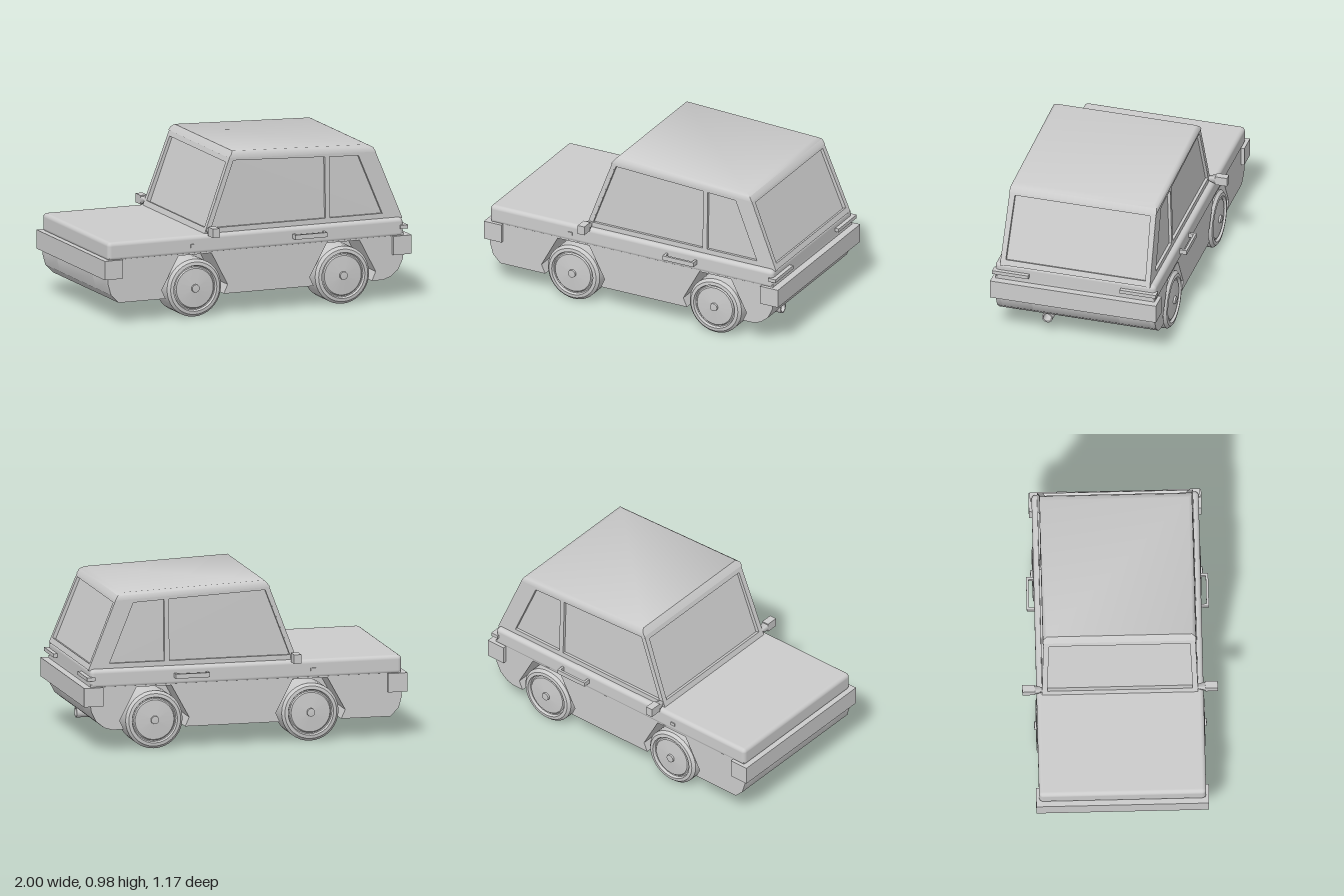
import * as THREE from 'three';
import { toCreasedNormals } from 'three/addons/utils/BufferGeometryUtils.js';
import { RoundedBoxGeometry } from 'three/addons/geometries/RoundedBoxGeometry.js';
import { ConvexGeometry } from 'three/addons/geometries/ConvexGeometry.js';

export function createModel() {
  const car = new THREE.Group();
  car.name = 'car';
  const mat = new THREE.MeshStandardMaterial({ color: 0xcccccc });

  const add = (name, geo, x = 0, y = 0, z = 0) => {
    const m = new THREE.Mesh(geo, mat);
    m.name = name;
    m.position.set(x, y, z);
    car.add(m);
    return m;
  };
  // box given by its extents on each axis
  const box = (name, x0, x1, y0, y1, z0, z1) =>
    add(name, new THREE.BoxGeometry(x1 - x0, y1 - y0, z1 - z0), (x0 + x1) / 2, (y0 + y1) / 2, (z0 + z1) / 2);
  const v2 = (pts) => pts.map(([x, y]) => new THREE.Vector2(x, y));
  const extrude = (pts, depth, holes = []) => {
    const s = new THREE.Shape(v2(pts));
    holes.forEach((h) => s.holes.push(new THREE.Path(v2(h))));
    return new THREE.ExtrudeGeometry(s, { depth, bevelEnabled: false });
  };
  // convex solid from points mirrored across the centre plane
  const hull = (pts) => new ConvexGeometry(
    pts.flatMap(([x, y, z]) => [new THREE.Vector3(x, y, z), new THREE.Vector3(x, y, -z)]));

  // Lower body: thin side skins, inner slabs around the wheels and a core, with a recessed floor
  const nose = [[-0.96, 0.41], [-0.97, 0.25], [-0.95, 0.18], [-0.9, 0.13]];
  const tail = [[0.82, 0.13], [0.87, 0.145], [0.92, 0.185], [0.95, 0.245], [0.96, 0.31], [0.955, 0.41]];
  const arch = (cx) => [[cx - 0.19, 0.13], [cx - 0.215, 0.185], [cx - 0.105, 0.385],
    [cx + 0.11, 0.385], [cx + 0.215, 0.185], [cx + 0.19, 0.13]];
  const axles = [-0.405, 0.56];
  const front = arch(axles[0]);
  const rear = arch(axles[1]);
  const skin = [...nose, ...front, ...rear, ...tail];
  const inner = [...nose, ...front, [-0.17, 0.13], [-0.15, 0.185], [0.3, 0.185], [0.32, 0.13], ...rear, ...tail];
  const core = [...nose, [-0.56, 0.13], [-0.54, 0.28], [-0.27, 0.28], [-0.22, 0.185],
    [0.76, 0.185], [0.78, 0.13], ...tail];
  add('lowerBodyCore', toCreasedNormals(extrude(core, 0.54), 0.5), 0, 0, -0.27);
  for (const s of [1, -1]) {
    add('wheelHousing', toCreasedNormals(extrude(inner, 0.195), 0.5), 0, 0, s > 0 ? 0.27 : -0.465);
    add('sideSkin', toCreasedNormals(extrude(skin, 0.03), 0.5), 0, 0, s > 0 ? 0.465 : -0.495);
    box('frontArchLiner', -0.25, -0.17, 0.13, 0.25, s * 0.265 - 0.01, s * 0.265 + 0.01);
    box('rearArchLiner', 0.33, 0.785, 0.13, 0.2, s * 0.265 - 0.01, s * 0.265 + 0.01);
  }

  // Shoulder band with the bonnet as its top
  add('upperBody', new RoundedBoxGeometry(1.925, 0.115, 1.0, 3, 0.025), -0.0075, 0.4425, 0);

  // Cabin: glass core, window frames, softly rounded roof
  add('glass', hull([[-0.305, 0.49, 0.45], [-0.145, 0.94, 0.438], [0.774, 0.9, 0.438], [0.938, 0.49, 0.45]]));
  const roof = hull([[-0.165, 0.947, 0.459], [-0.15, 0.968, 0.457], [-0.135, 0.985, 0.435],
    [0.745, 0.953, 0.435], [0.775, 0.938, 0.455], [0.792, 0.908, 0.459]]);
  add('roof', toCreasedNormals(roof, 0.85));
  const sideOutline = [[-0.33, -0.01], [0.96, -0.01], [0.785, 0.42], [-0.155, 0.455]];
  const sideWindows = [
    [[-0.29, 0.03], [-0.14, 0.43], [0.46, 0.403], [0.46, 0.03]],
    [[0.49, 0.03], [0.49, 0.401], [0.68, 0.392], [0.83, 0.03]],
  ];
  for (const s of [1, -1]) {
    const frame = add('sideWindowFrame', extrude(sideOutline, 0.025, sideWindows), 0, 0.5, s > 0 ? 0.442 : -0.467);
    frame.rotation.x = -0.026 * s;
  }
  // sloped frame between a bottom and a top point of the side profile
  const endFrame = (name, [x0, y0], [x1, y1], dir, lo, hi) => {
    const up = new THREE.Vector3(x1 - x0, y1 - y0, 0);
    const len = up.length();
    up.normalize();
    const out = new THREE.Vector3(dir * up.y, -dir * up.x, 0);
    const across = new THREE.Vector3().crossVectors(up, out);
    const geo = extrude([[-0.467, 0], [0.467, 0], [0.455, len], [-0.455, len]], 0.03,
      [[[-0.435, lo], [-0.422, hi], [0.422, hi], [0.435, lo]]]);
    geo.translate(0, 0, -0.03);
    geo.applyMatrix4(new THREE.Matrix4().makeBasis(across, up, out).setPosition(x0, y0, 0));
    add(name, geo);
  };
  endFrame('windscreenFrame', [-0.33, 0.495], [-0.16, 0.95], -1, 0.04, 0.45);
  endFrame('rearWindowFrame', [0.96, 0.495], [0.79, 0.91], 1, 0.035, 0.43);

  // Bumpers
  box('frontBumper', -1, -0.88, 0.28, 0.395, -0.517, 0.517);
  box('rearBumper', 0.88, 1, 0.28, 0.395, -0.517, 0.517);

  // Wheels: tyre, dished cover and hollow back in one turned profile
  const wheelGeo = toCreasedNormals(new THREE.LatheGeometry(v2([
    [0, 0.37], [0.035, 0.37], [0.04, 0.4], [0.1, 0.4], [0.115, 0.29], [0.16, 0.29], [0.176, 0.305],
    [0.176, 0.485], [0.16, 0.502], [0.14, 0.505], [0.134, 0.488], [0.127, 0.488], [0.12, 0.496],
    [0.025, 0.503], [0.024, 0.515], [0, 0.517],
  ]), 36), 0.5);
  for (const x of axles) {
    for (const s of [1, -1]) add('wheel', wheelGeo, x, 0.18, 0).rotation.x = s * Math.PI / 2;
    add('axle', new THREE.CylinderGeometry(0.018, 0.018, 0.78, 12), x, 0.2, 0).rotation.x = Math.PI / 2;
  }
  // Front gear housing and links
  add('gearHousing', new THREE.CylinderGeometry(0.075, 0.075, 0.08, 20), -0.405, 0.21, 0).rotation.x = Math.PI / 2;
  box('steeringLink', -0.52, -0.5, 0.19, 0.21, -0.3, 0.3);
  box('gearHousingFoot', -0.435, -0.375, 0.1, 0.17, -0.045, 0.01);

  // Exhaust: six-sided muffler and an open pipe
  const muffler = extrude([[-0.068, 0.12], [-0.035, 0.075], [0.035, 0.075], [0.068, 0.12],
    [0.05, 0.19], [-0.05, 0.19]], 0.27);
  muffler.rotateY(Math.PI / 2);
  add('muffler', muffler, 0.43, 0, 0.198);
  const pipe = toCreasedNormals(new THREE.LatheGeometry(
    v2([[0, -0.1], [0.033, -0.1], [0.033, 0.1], [0.025, 0.1], [0.025, 0], [0, 0]]), 20), 0.5);
  add('exhaustPipe', pipe, 0.765, 0.113, 0.2).rotation.z = -Math.PI / 2;

  // Paired side details
  for (const s of [1, -1]) {
    const pair = (name, x0, x1, y0, y1, z0, z1) =>
      box(name, x0, x1, y0, y1, Math.min(s * z0, s * z1), Math.max(s * z0, s * z1));
    pair('doorHandleGrip', 0.23, 0.44, 0.432, 0.46, 0.53, 0.545);
    for (const x of [0.23, 0.425]) pair('doorHandlePost', x, x + 0.015, 0.432, 0.46, 0.49, 0.53);
    pair('tailLight', 0.93, 0.98, 0.435, 0.457, 0.285, 0.51);
    pair('sideMarker', -0.435, -0.405, 0.43, 0.45, 0.49, 0.506);
    pair('mirrorHead', -0.325, -0.28, 0.495, 0.55, 0.51, 0.585);
    const arm = new THREE.CylinderGeometry(0.03, 0.013, 0.06, 4);
    arm.rotateY(Math.PI / 4);
    add('mirrorArm', arm, -0.302, 0.522, s * 0.482).rotation.x = s * Math.PI / 2;
  }
  return car;
}
